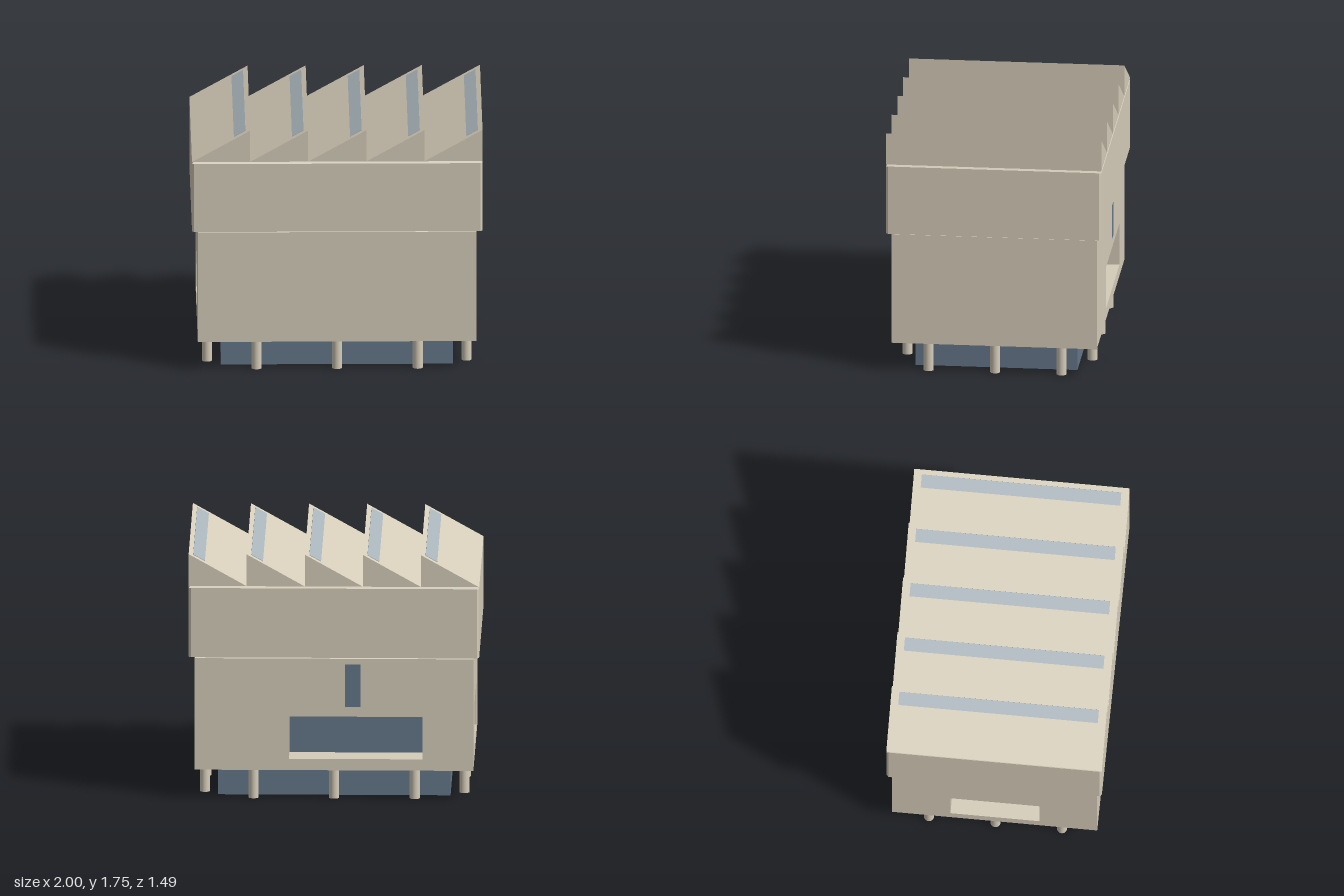
import * as THREE from 'three';

const material = (name, color) => {
  const m = new THREE.MeshStandardMaterial({ color });
  m.name = name;
  return m;
};

export function createModel() {
  const model = new THREE.Group();
  model.name = 'sawtoothRoofBuilding';
  const stone = material('warm stone', 0xd6cdba);
  const glass = material('slate blue glass', 0x657789);
  const sky = material('pale skylight blue', 0xa9b5bb);

  const add = (name, geometry, mat, x = 0, y = 0, z = 0, parent = model) => {
    const mesh = new THREE.Mesh(geometry, mat);
    mesh.name = name;
    mesh.position.set(x, y, z);
    parent.add(mesh);
    return mesh;
  };
  const box = (name, mat, w, h, d, x, y, z, parent) =>
    add(name, new THREE.BoxGeometry(w, h, d), mat, x, y, z, parent);

  // Slab whose top edge is chamfered inwards
  const chamferedSlab = (w, h, d, inset) => {
    const g = new THREE.BoxGeometry(w, h, d);
    const p = g.attributes.position;
    for (let i = 0; i < p.count; i++) {
      if (p.getY(i) < 0) continue;
      p.setX(i, p.getX(i) - Math.sign(p.getX(i)) * inset);
      p.setZ(i, p.getZ(i) - Math.sign(p.getZ(i)) * inset);
    }
    g.computeVertexNormals();
    return g;
  };
  const polygon = (points) => new THREE.Shape(points.map(([x, y]) => new THREE.Vector2(x, y)));
  const rect = (x0, y0, x1, y1) => polygon([[x0, y0], [x1, y0], [x1, y1], [x0, y1]]);
  const extrude = (shape, depth) =>
    new THREE.ExtrudeGeometry(shape, { depth, bevelEnabled: false });

  // Hollow ground floor block, open underneath
  const base = new THREE.Group();
  base.name = 'groundFloor';
  model.add(base);
  for (const s of [-1, 1]) {
    box('groundFloorSide', glass, 0.01, 0.21, 1.12, s * 0.795, 0.105, 0, base);
    box('groundFloorEnd', glass, 1.6, 0.21, 0.01, 0, 0.105, s * 0.555, base);
  }
  box('groundFloorCeiling', glass, 1.6, 0.01, 1.12, 0, 0.205, 0, base);

  // Ring of round columns
  const columnGeometry = new THREE.CylinderGeometry(0.035, 0.035, 0.21, 24);
  for (const s of [-1, 1]) {
    for (const t of [-1, 0, 1]) {
      add('endColumn', columnGeometry, stone, t * 0.555, 0.105, s * 0.64);
      add('sideColumn', columnGeometry, stone, s * 0.893, 0.105, t * 0.46);
    }
  }

  // Main body walls; a niche cuts through the back and the left-hand wall
  const wall = 0.015, low = 0.21, high = 1.0;
  const wallWithNiche = (name, width, offset, niche) => {
    const group = new THREE.Group();
    group.name = name;
    model.add(group);
    const shape = rect(-width / 2, low, width / 2, high);
    if (niche) {
      const { x0, x1, y0, y1, depth } = niche;
      shape.holes.push(rect(x0, y0, x1, y1));
      const w = x1 - x0, h = y1 - y0, cx = (x0 + x1) / 2, cy = (y0 + y1) / 2;
      const z = offset - depth / 2 - 0.001, t = 0.01;
      for (const s of [-1, 1]) {
        box('nicheJamb', stone, t, h + 2 * t, depth - 0.002, cx + s * (w + t) / 2, cy, z, group);
        box('nicheSill', stone, w, t, depth - 0.002, cx, cy + s * (h + t) / 2, z, group);
      }
      box('nicheGlass', glass, w, h, 0.008, cx, cy, offset - depth, group);
    }
    add('wallPanel', extrude(shape, wall), stone, 0, 0, offset - wall, group);
    return group;
  };
  wallWithNiche('frontWall', 1.92, 0.71);
  wallWithNiche('leftWall', 1.42, 0.96).rotation.y = Math.PI / 2;
  const back = wallWithNiche('backWall', 1.92, 0.71,
    { x0: -0.31, x1: 0.61, y0: 0.29, y1: 0.59, depth: 0.2 });
  back.rotation.y = Math.PI;
  box('slotWindow', glass, 0.105, 0.3, 0.006, 0.13, 0.81, 0.71, back);
  wallWithNiche('rightWall', 1.42, 0.96,
    { x0: -0.305, x1: 0.31, y0: 0.29, y1: 0.59, depth: 0.25 }).rotation.y = -Math.PI / 2;

  // Floor plate set up inside the walls, and chamfered top of the body
  box('bodyFloor', stone, 1.89, 0.01, 1.39, 0, 0.285, 0);
  add('bodyTop', chamferedSlab(1.92, 0.015, 1.42, 0.015), stone, 0, 1.0075, 0);

  // Overhanging upper storey: a hollow shell with chamfered corners
  const chamferedRect = (a, b, c) => polygon([
    [-a + c, -b], [a - c, -b], [a, -b + c], [a, b - c],
    [a - c, b], [-a + c, b], [-a, b - c], [-a, -b + c]]);
  const shell = chamferedRect(1, 0.745, 0.015);
  shell.holes.push(rect(-0.98, -0.725, 0.98, 0.725));
  const shellGeometry = extrude(shell, 0.49).rotateX(-Math.PI / 2);
  add('upperStorey', shellGeometry, stone, 0, 1.015, 0);
  add('roofSlab', chamferedSlab(2, 0.015, 1.49, 0.012), stone, 0, 1.5125, 0);

  // Sawtooth roof with a skylight strip on each slope
  const rise = 0.225, run = 0.4, slope = Math.atan2(rise, run);
  const toothGeometry = extrude(polygon([[0, 0], [run, 0], [run, rise]]), 1.49);
  for (let i = 0; i < 5; i++) {
    const x = -1 + i * run;
    add('roofTooth', toothGeometry, stone, x, 1.52, -0.745);
    const light = box('skylight', sky, 0.08 / Math.cos(slope), 0.006, 1.38,
      x + 0.33, 1.52 + 0.33 * rise / run, 0);
    light.rotation.z = slope;
  }
  return model;
}
